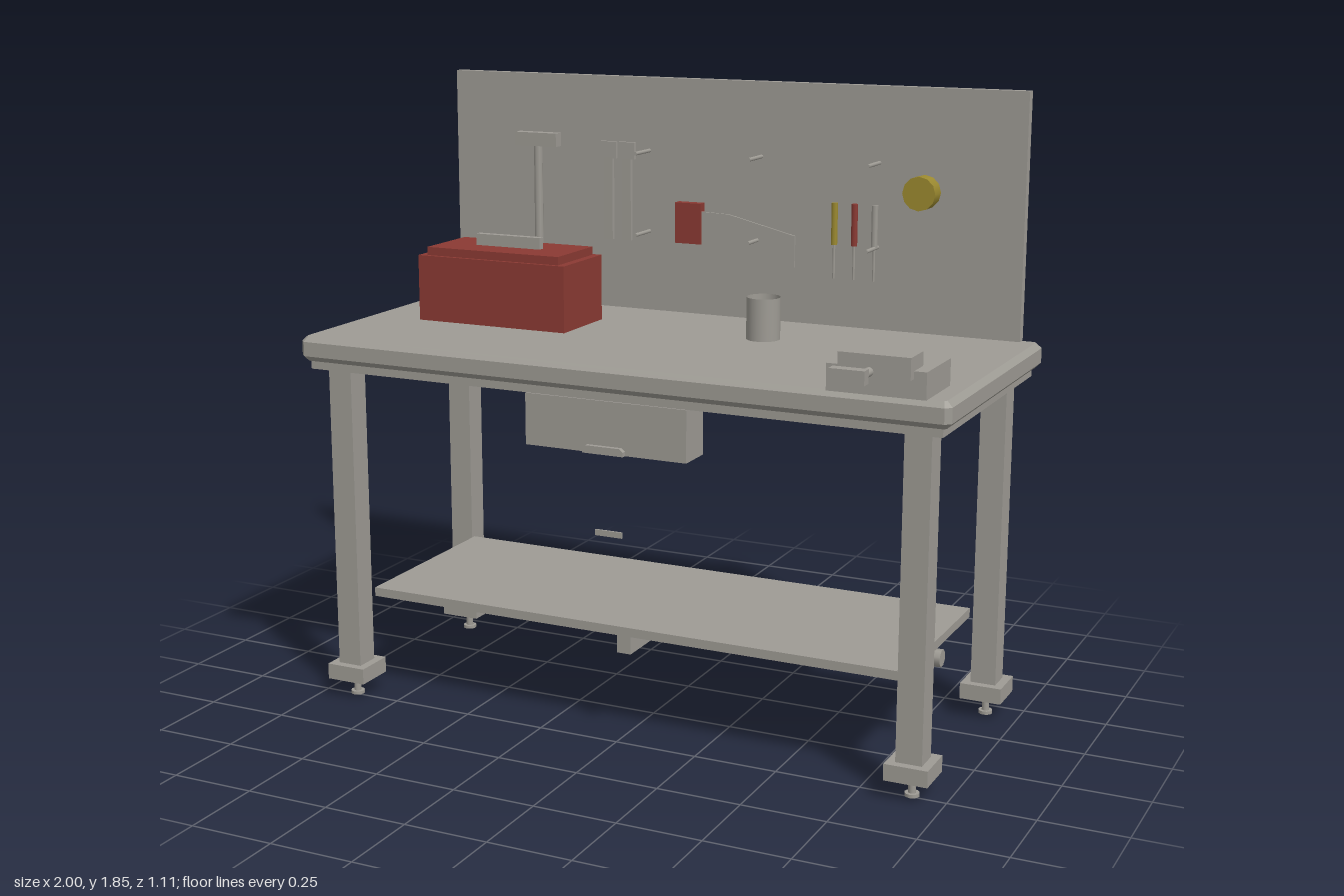
import * as THREE from 'three';

const mat = (name, color) => {
  const m = new THREE.MeshStandardMaterial({ color });
  m.name = name;
  return m;
};

export function createModel() {
  const bench = new THREE.Group();
  bench.name = 'workbench';
  const grey = mat('grey', 0x9e9b94);
  const red = mat('red', 0x8b3a33);
  const yellow = mat('yellow', 0x9c8a30);
  const openGrey = mat('grey open', 0x9e9b94);
  openGrey.side = THREE.DoubleSide;

  const add = (name, geo, material, parent = bench) => {
    const mesh = new THREE.Mesh(geo, material);
    mesh.name = name;
    parent.add(mesh);
    return mesh;
  };
  const group = (name) => {
    const g = new THREE.Group();
    g.name = name;
    bench.add(g);
    return g;
  };
  // Box given by its limits on each axis
  const box = (name, [x0, x1], [y0, y1], [z0, z1], material = grey, parent = bench) => {
    const geo = new THREE.BoxGeometry(x1 - x0, y1 - y0, z1 - z0);
    geo.translate((x0 + x1) / 2, (y0 + y1) / 2, (z0 + z1) / 2);
    return add(name, geo, material, parent);
  };
  // Cylinder centred on a point, along the given axis
  const rod = (name, r, length, [x, y, z], axis = 'y', material = grey, parent = bench, sides = 12) => {
    const geo = new THREE.CylinderGeometry(r, r, length, sides);
    if (axis === 'x') geo.rotateX(0).rotateY(Math.PI / sides).rotateZ(Math.PI / 2);
    if (axis === 'z') geo.rotateX(Math.PI / 2);
    geo.translate(x, y, z);
    return add(name, geo, material, parent);
  };
  const polygon = (points) => new THREE.Shape(points.map(([x, y]) => new THREE.Vector2(x, y)));

  // Worktop slab with chamfered edges
  const b = 0.016, w = 1, d = 0.435, h = 0.075;
  const topGeo = new THREE.ExtrudeGeometry(
    polygon([[-w + b, -d], [w - b, -d], [w, -d + b], [w, d - b], [w - b, d], [-w + b, d], [-w, d - b], [-w, -d + b]]),
    { depth: h - 2 * b, bevelEnabled: true, bevelThickness: b, bevelSize: b, bevelOffset: -b, bevelSegments: 1 }
  );
  topGeo.rotateX(-Math.PI / 2).translate(0, 1.055 + b, -0.102);
  add('worktop', topGeo, grey);
  box('underframe', [-0.975, 0.975], [1.03, 1.055], [-0.513, 0.31]);

  // Legs with levelling feet
  for (const x of [-0.898, 0.898]) {
    for (const z of [-0.438, 0.24]) {
      const leg = group('leg');
      box('legPost', [x - 0.038, x + 0.038], [0.1, 1.03], [z - 0.038, z + 0.038], grey, leg);
      box('footBlock', [x - 0.063, x + 0.063], [0.057, 0.105], [z - 0.063, z + 0.063], grey, leg);
      rod('footPin', 0.011, 0.06, [x, 0.035, z], 'y', grey, leg);
      rod('footPad', 0.021, 0.01, [x, 0.005, z], 'y', grey, leg);
    }
  }

  // Lower shelf and its beams
  box('shelf', [-0.85, 0.85], [0.308, 0.335], [-0.4, 0.2]);
  box('shelfCrossBeam', [-0.022, 0.022], [0.255, 0.31], [-0.4, 0.2]);
  rod('shelfLongBeam', 0.026, 1.73, [0, 0.279, -0.098], 'x', grey, bench, 8);

  // Drawer, its pull and the small plate below
  box('drawer', [-0.25, 0.25], [0.88, 1.03], [0.205, 0.315]);
  const pull = new THREE.ExtrudeGeometry(
    polygon([[-0.063, 0.88], [0.063, 0.88], [0.063, 0.893], [0.053, 0.902], [-0.053, 0.902], [-0.063, 0.893]]),
    { depth: 0.014, bevelEnabled: false }
  );
  pull.translate(0, 0, 0.315);
  add('drawerPull', pull, grey);
  box('smallPlate', [-0.042, 0.042], [0.633, 0.65], [0.288, 0.294]);

  // Back panel and mounting plates
  box('backPanel', [-0.94, 0.94], [1.13, 1.853], [-0.53, -0.5]);
  for (const x of [-0.852, 0.852]) {
    for (const y of [1.293, 1.793]) {
      box('mountingPlate', [x - 0.038, x + 0.038], [y - 0.038, y + 0.038], [-0.557, -0.542]);
    }
  }

  // Pegs
  for (const x of [-0.25, 0.125, 0.5]) {
    for (const y of [1.38, 1.63]) rod('peg', 0.006, 0.1, [x, y, -0.44], 'z', grey, bench, 8);
  }

  // Toolbox
  const toolbox = group('toolbox');
  box('toolboxBody', [-0.815, -0.315], [1.13, 1.33], [-0.288, -0.042], red, toolbox);
  box('toolboxLid', [-0.79, -0.34], [1.33, 1.355], [-0.276, -0.054], red, toolbox);
  box('toolboxHandle', [-0.675, -0.455], [1.355, 1.39], [-0.175, -0.153], grey, toolbox);

  // Open cup
  const cup = new THREE.CylinderGeometry(0.05, 0.05, 0.125, 20, 1, true);
  cup.translate(0.248, 1.1925, -0.224);
  add('cup', cup, openGrey);

  // Vise
  const vise = group('vise');
  box('viseBase', [0.66, 0.935], [1.13, 1.204], [0.138, 0.335], grey, vise);
  box('viseJaw', [0.7, 0.9], [1.183, 1.243], [0.262, 0.36], grey, vise);
  rod('viseScrew', 0.0125, 0.125, [0.798, 1.204, 0.453], 'z', grey, vise);
  box('viseHandle', [0.75, 0.846], [1.204, 1.242], [0.525, 0.557], grey, vise);

  // Hammer
  const hammer = group('hammer');
  rod('hammerHandle', 0.014, 0.36, [-0.627, 1.455, -0.465], 'y', grey, hammer, 8);
  box('hammerHead', [-0.7, -0.555], [1.63, 1.672], [-0.482, -0.448], grey, hammer);

  // Two wrenches
  for (const x of [-0.379, -0.316]) {
    const wrench = group('wrench');
    box('wrenchShank', [x - 0.015, x + 0.015], [1.35, 1.605], [-0.474, -0.462], grey, wrench);
    box('wrenchHead', [x - 0.027, x + 0.027], [1.603, 1.655], [-0.474, -0.462], grey, wrench);
  }

  // Saw
  const saw = group('saw');
  box('sawHandle', [-0.146, -0.06], [1.355, 1.48], [-0.484, -0.454], red, saw);
  const blade = new THREE.ExtrudeGeometry(
    polygon([[-0.06, 1.305], [0.247, 1.305], [0.247, 1.4], [0.03, 1.452], [-0.06, 1.455]]),
    { depth: 0.006, bevelEnabled: false }
  );
  blade.translate(0, 0, -0.468);
  add('sawBlade', blade, grey, saw);

  // Screwdrivers
  [[0.372, yellow], [0.435, red], [0.498, grey]].forEach(([x, material]) => {
    const driver = group('screwdriver');
    rod('screwdriverHandle', 0.01, 0.125, [x, 1.445, -0.466], 'y', material, driver, 8);
    rod('screwdriverShaft', 0.004, 0.105, [x, 1.333, -0.466], 'y', grey, driver, 8);
  });

  // Tape roll
  rod('tapeRoll', 0.05, 0.053, [0.648, 1.555, -0.441], 'z', yellow);

  return bench;
}
